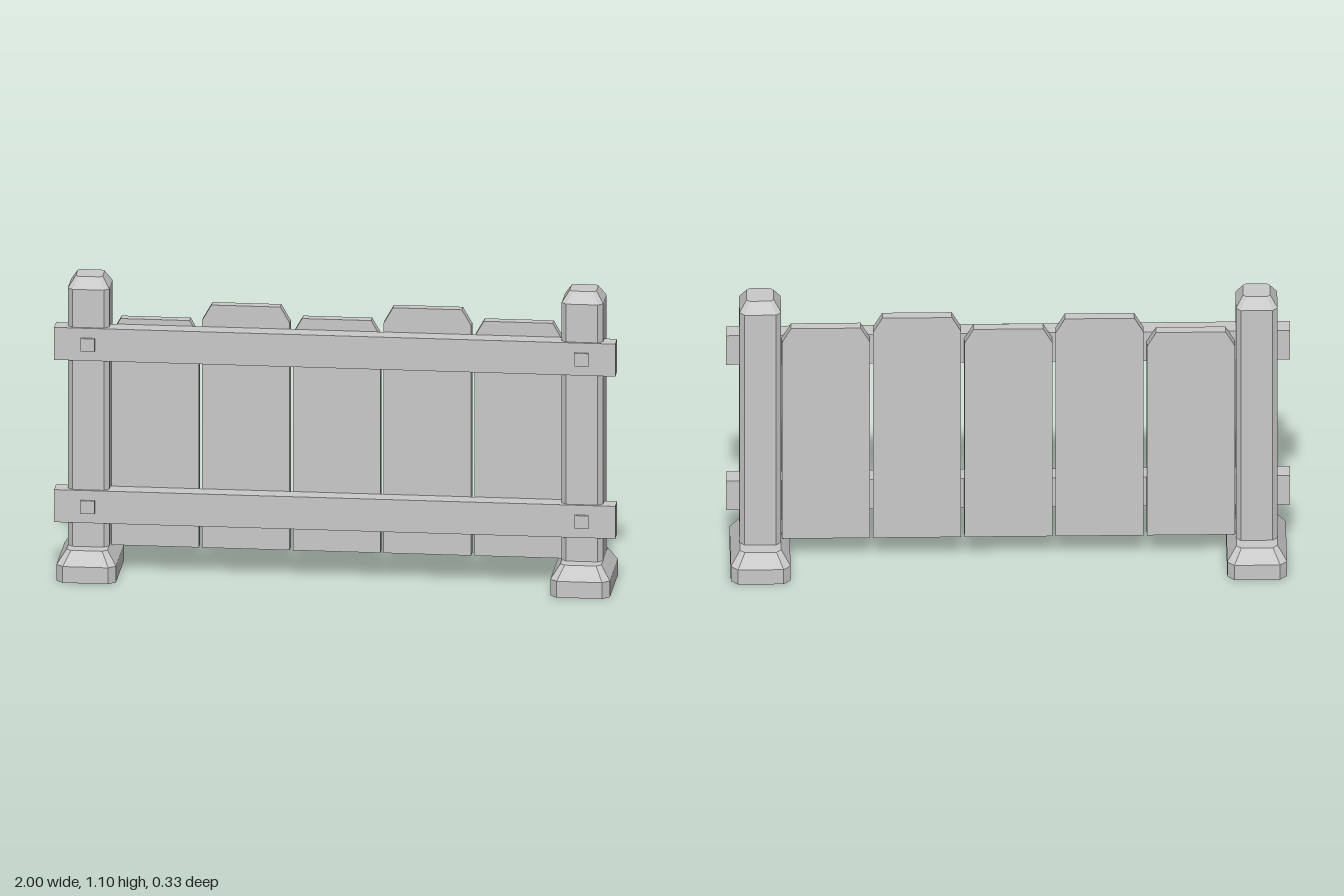
import * as THREE from 'three';

const grey = new THREE.MeshStandardMaterial({ color: 0xcacaca });
grey.name = 'lightGrey';

// Rectangle with cut corners, listed anticlockwise seen from above
function ring([y, hx, hz, c]) {
  return [
    [hx, hz - c], [hx, c - hz], [hx - c, -hz], [c - hx, -hz],
    [-hx, c - hz], [-hx, hz - c], [c - hx, hz], [hx - c, hz],
  ].map(([x, z]) => new THREE.Vector3(x, y, z));
}

// Stack of cut-corner sections [y, halfX, halfZ, cut], closed at both ends
function chamferedStack(sections) {
  const rings = sections.map(ring);
  const pos = [];
  const tri = (...pts) => pts.forEach((p) => pos.push(p.x, p.y, p.z));
  for (let s = 0; s < rings.length - 1; s++) {
    const a = rings[s], b = rings[s + 1];
    for (let i = 0; i < 8; i++) {
      const j = (i + 1) % 8;
      tri(a[i], a[j], b[j]);
      tri(a[i], b[j], b[i]);
    }
  }
  const low = rings[0], top = rings[rings.length - 1];
  for (let i = 1; i < 7; i++) {
    tri(low[0], low[i + 1], low[i]);
    tri(top[0], top[i], top[i + 1]);
  }
  const g = new THREE.BufferGeometry();
  g.setAttribute('position', new THREE.Float32BufferAttribute(pos, 3));
  g.computeVertexNormals();
  return g;
}

// Board with its two upper corners cut off
function plankGeometry(width, bottom, top, depth) {
  const h = width / 2, cx = 0.033, cy = 0.058;
  const shape = new THREE.Shape([
    [-h, bottom], [h, bottom], [h, top - cy], [h - cx, top], [cx - h, top], [-h, top - cy],
  ].map(([x, y]) => new THREE.Vector2(x, y)));
  return new THREE.ExtrudeGeometry(shape, { depth, bevelEnabled: false });
}

export function createModel() {
  const model = new THREE.Group();
  model.name = 'fencePanel';
  const add = (name, geometry, x, y, z) => {
    const mesh = new THREE.Mesh(geometry, grey);
    mesh.name = name;
    mesh.position.set(x, y, z);
    model.add(mesh);
  };

  // Posts on wide footings
  const post = chamferedStack([
    [0.1, 0.074, 0.075, 0.018], [1.06, 0.074, 0.075, 0.018], [1.1, 0.048, 0.045, 0.011],
  ]);
  const footing = chamferedStack([
    [0, 0.106, 0.163, 0.025], [0.06, 0.106, 0.163, 0.025], [0.11, 0.073, 0.127, 0.017],
  ]);
  for (const side of [-1, 1]) {
    const name = side > 0 ? 'left' : 'right';
    add(name + 'Post', post, side * 0.88, 0, 0);
    add(name + 'Footing', footing, side * 0.88, 0, 0);
  }

  // Rails across the front, pegged to the posts
  const rail = new THREE.BoxGeometry(2, 0.12, 0.065);
  const peg = new THREE.BoxGeometry(0.05, 0.048, 0.02);
  for (const [name, y] of [['lower', 0.26], ['upper', 0.86]]) {
    add(name + 'Rail', rail, 0, y, 0.0515);
    for (const side of [-1, 1]) add(name + 'Peg', peg, side * 0.88, y, 0.083);
  }

  // Boards of uneven height
  [0.94, 1.0, 0.96, 1.01, 0.97].forEach((top, i) => {
    add('plank' + (i + 1), plankGeometry(0.312, 0.102, top, 0.037), (i - 2) * 0.3235, 0, -0.02);
  });

  return model;
}
